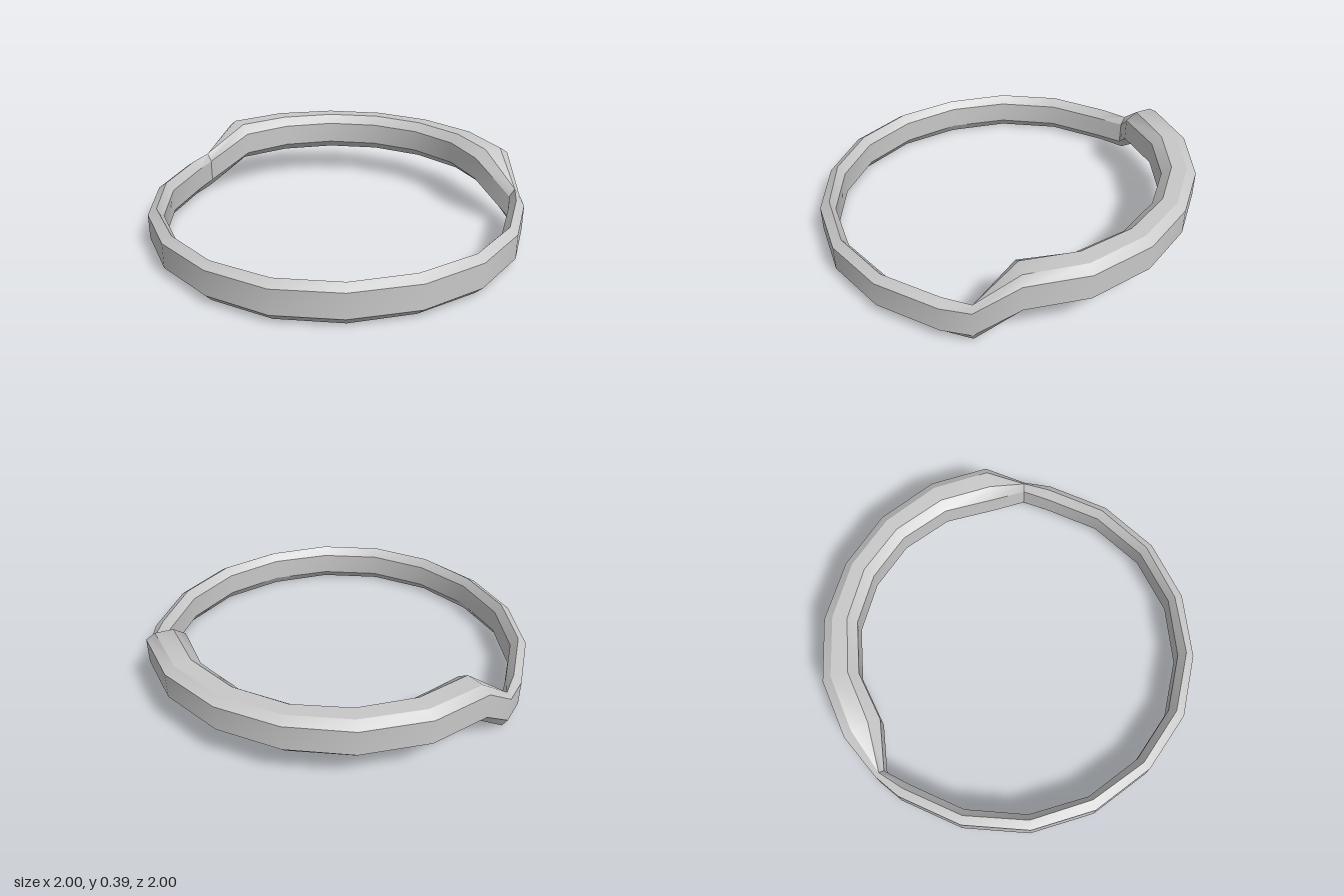
import * as THREE from 'three';
import { mergeGeometries, toCreasedNormals } from 'three/addons/utils/BufferGeometryUtils.js';

// Half of the ring, front to back. Plan points [x, z] of each section:
// outer wall, outer rim, inner rim, inner wall, then base height.
// The two rims meet in one ridge on the narrow front part.
const STATIONS = [
  [[0, 1], [0, 0.952], [0, 0.952], [0, 0.915], 0],
  [[0.34, 0.933], [0.33, 0.89], [0.33, 0.89], [0.315, 0.855], 0.001],
  [[0.652, 0.755], [0.615, 0.72], [0.615, 0.72], [0.6, 0.695], 0.002],
  [[0.88, 0.49], [0.84, 0.465], [0.84, 0.465], [0.81, 0.447], 0.005],
  [[1, 0.155], [0.957, 0.145], [0.957, 0.145], [0.92, 0.137], 0.009],
  [[1, -0.2], [0.957, -0.19], [0.957, -0.19], [0.92, -0.18], 0.012],
  [[0.96, -0.35], [0.935, -0.34], [0.935, -0.34], [0.91, -0.33], 0.014],
  [[0.86, -0.55], [0.82, -0.525], [0.745, -0.47], [0.7, -0.43], 0.18],
  [[0.645, -0.79], [0.61, -0.755], [0.555, -0.685], [0.525, -0.645], 0.18],
  [[0.335, -0.95], [0.315, -0.905], [0.29, -0.83], [0.275, -0.785], 0.18],
  [[0, -1], [0, -0.955], [0, -0.88], [0, -0.83], 0.18],
];

// Rectangle with four bevelled corners, from the outer bottom upward and around
function section([outer, rimOut, rimIn, inner, base]) {
  const corners = [[outer, 0.047], [outer, 0.182], [rimOut, 0.213], [rimIn, 0.213],
    [inner, 0.168], [inner, 0.047], [rimIn, 0], [rimOut, 0]];
  return corners.map(([[x, z], h]) => new THREE.Vector3(x, base + h, z));
}

// One strip around the ring, between section corners j and k
function stripGeometry(rings, j, k) {
  const points = [];
  const addTriangle = (a, b, c) => {
    if (!a.equals(b) && !b.equals(c) && !c.equals(a)) points.push(a, b, c);
  };
  rings.forEach((ring, i) => {
    const next = rings[(i + 1) % rings.length];
    addTriangle(ring[j], next[j], next[k]);
    addTriangle(ring[j], next[k], ring[k]);
  });
  const strip = new THREE.BufferGeometry().setFromPoints(points);
  return toCreasedNormals(strip, 1); // smooth along the strip
}

// Strips stay separate, so the bevel edges are sharp
function ringGeometry() {
  const half = STATIONS.map(section);
  const mirrored = half.slice(1, -1).reverse()
    .map((ring) => ring.map((p) => new THREE.Vector3(-p.x, p.y, p.z)));
  const rings = [...half, ...mirrored];
  const sides = half[0].length;
  return mergeGeometries(half[0].map((_, j) => stripGeometry(rings, j, (j + 1) % sides)));
}

export function createModel() {
  const model = new THREE.Group();
  model.name = 'steppedRing';
  const metal = new THREE.MeshStandardMaterial({ color: 0xc8c8c8 });
  metal.name = 'light grey metal';
  const band = new THREE.Mesh(ringGeometry(), metal);
  band.name = 'band';
  model.add(band);
  return model;
}
